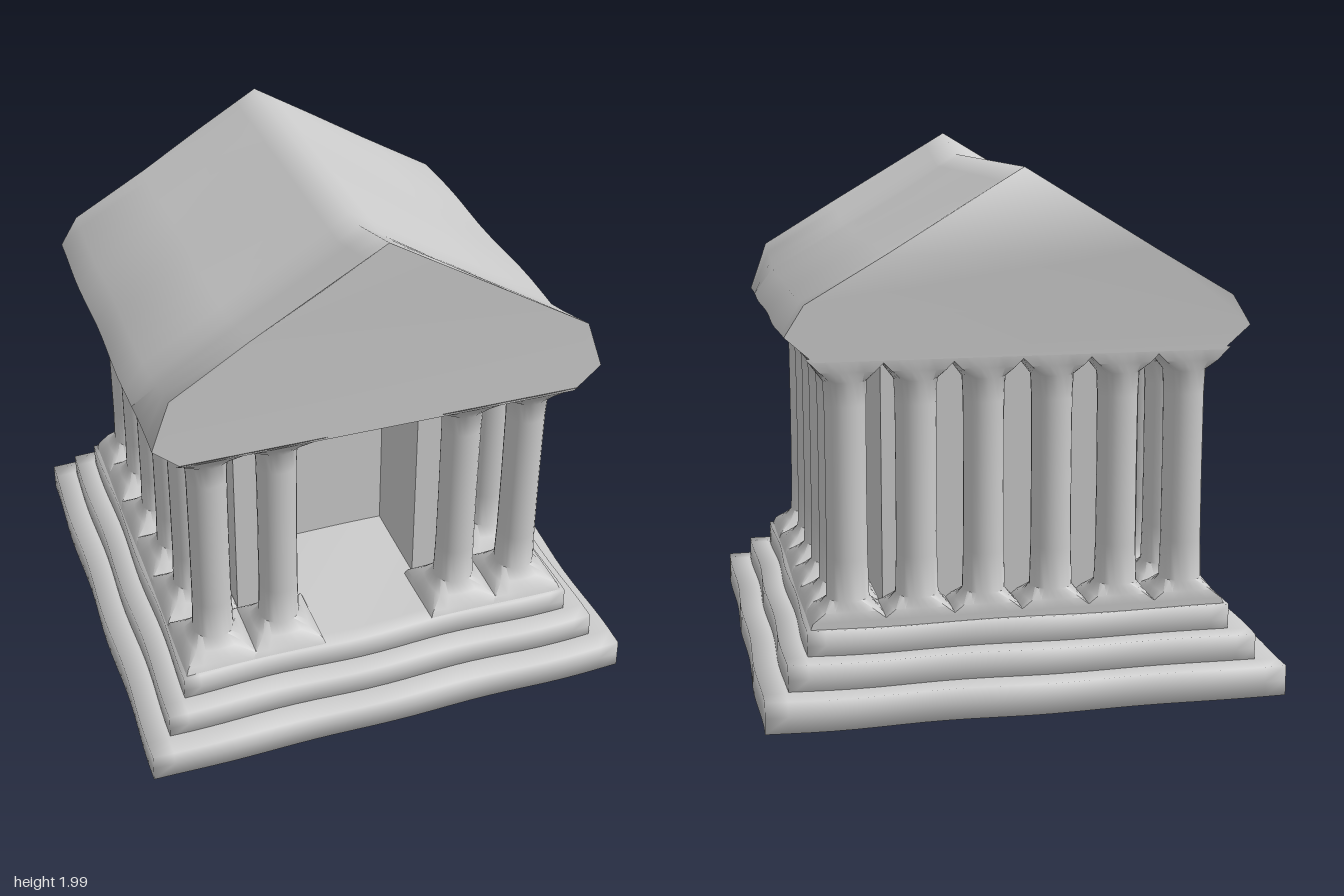
import * as THREE from 'three';
import { toCreasedNormals } from 'three/addons/utils/BufferGeometryUtils.js';

const material = new THREE.MeshStandardMaterial({ color: 0xcccccc });

// Apply a rule to every vertex of a geometry
function bend(geometry, rule) {
  const p = geometry.attributes.position;
  const v = new THREE.Vector3();
  for (let i = 0; i < p.count; i++) {
    v.fromBufferAttribute(p, i);
    rule(v);
    p.setXYZ(i, v.x, v.y, v.z);
  }
  return geometry;
}

// Gentle hand-worn unevenness, the same for equal positions
function worn(v, amount) {
  const { x, y, z } = v;
  v.x += amount * Math.sin(9 * z + 4 * y) * Math.sign(x);
  v.z += amount * Math.sin(9 * x + 5 * y + 1) * Math.sign(z);
  v.y += amount * 0.5 * Math.sin(8 * x + 7 * z);
}

function add(group, name, geometry, crease = 0.6) {
  const mesh = new THREE.Mesh(toCreasedNormals(geometry, crease), material);
  mesh.name = name;
  group.add(mesh);
}

// Column with round shaft and square flared ends, kept inside the footprint
function columnGeometry(x, z) {
  const profile = [
    [0.15, 0.295], [0.135, 0.335], [0.105, 0.37], [0.078, 0.405], [0.074, 0.55],
    [0.073, 0.8], [0.074, 1.1], [0.078, 1.185], [0.108, 1.225], [0.145, 1.275],
  ].map(([r, y]) => new THREE.Vector2(r, y));
  return bend(new THREE.LatheGeometry(profile, 24), (v) => {
    const r = Math.hypot(v.x, v.z);
    const square = r / Math.max(Math.abs(v.x), Math.abs(v.z));
    const blend = THREE.MathUtils.clamp((r - 0.078) / 0.05, 0, 1);
    const s = 1 + (square - 1) * blend;
    v.x = v.x * s + x;
    v.z = Math.max(v.z * s + z, -0.765);
  });
}

export function createModel() {
  const temple = new THREE.Group();
  temple.name = 'temple';

  // Stepped base: half width, bottom, top
  const steps = [[0.947, 0.012, 0.125], [0.857, 0.11, 0.22], [0.775, 0.2, 0.312]];
  steps.forEach(([half, bottom, top], i) => {
    const g = new THREE.BoxGeometry(half * 2, top - bottom, half * 2, 24, 2, 24);
    g.translate(0, (bottom + top) / 2, 0);
    add(temple, `step${i + 1}`, bend(g, (v) => worn(v, 0.005)), 2);
  });

  // Inner chamber: solid rear and a front with a doorway
  const rear = new THREE.BoxGeometry(0.96, 1.02, 0.675);
  rear.translate(0, 0.79, -0.2375);
  add(temple, 'chamberRear', rear);

  const wall = new THREE.Shape();
  [[-0.48, 0.28], [-0.25, 0.28], [-0.25, 1.12], [0.25, 1.12],
    [0.25, 0.28], [0.48, 0.28], [0.48, 1.3], [-0.48, 1.3]]
    .forEach(([x, y], i) => (i ? wall.lineTo(x, y) : wall.moveTo(x, y)));
  const front = new THREE.ExtrudeGeometry(wall, { depth: 0.37, bevelEnabled: false });
  front.translate(0, 0, 0.1);
  add(temple, 'chamberDoorway', front);

  // Colonnade: sides, then the columns between the corners
  const colonnade = new THREE.Group();
  colonnade.name = 'colonnade';
  temple.add(colonnade);
  for (const side of [-1, 1]) {
    for (const z of [0.62, 0.335, 0.075, -0.18, -0.45, -0.675]) {
      add(colonnade, 'sideColumn', columnGeometry(side * 0.62, z), 0.9);
    }
    add(colonnade, 'frontColumn', columnGeometry(side * 0.36, 0.62), 0.9);
    for (const x of [0.37, 0.125]) {
      add(colonnade, 'backColumn', columnGeometry(side * x, -0.675), 0.9);
    }
  }

  // Gabled roof with straight slopes, lifted towards the front gable
  const gable = new THREE.Shape();
  const half = [[0.74, 1.262], [0.84, 1.35], [0.77, 1.46], [0.48, 1.632], [0.24, 1.776], [0.08, 1.872]];
  const outline = [...half, [0, 1.92], ...half.map(([x, y]) => [-x, y]).reverse()];
  outline.forEach(([x, y], i) => (i ? gable.lineTo(x, y) : gable.moveTo(x, y)));
  const roof = new THREE.ExtrudeGeometry(gable, { depth: 1.52, steps: 16, bevelEnabled: false });
  roof.translate(0, 0, -0.765);
  bend(roof, (v) => {
    const lift = 0.08 * THREE.MathUtils.clamp((v.z - 0.47) / 0.285, 0, 1);
    if (v.y > 1.4) v.y += lift;
    if (v.y < 1.85) worn(v, 0.004);
  });
  add(temple, 'roof', roof, 1.35);

  return temple;
}
